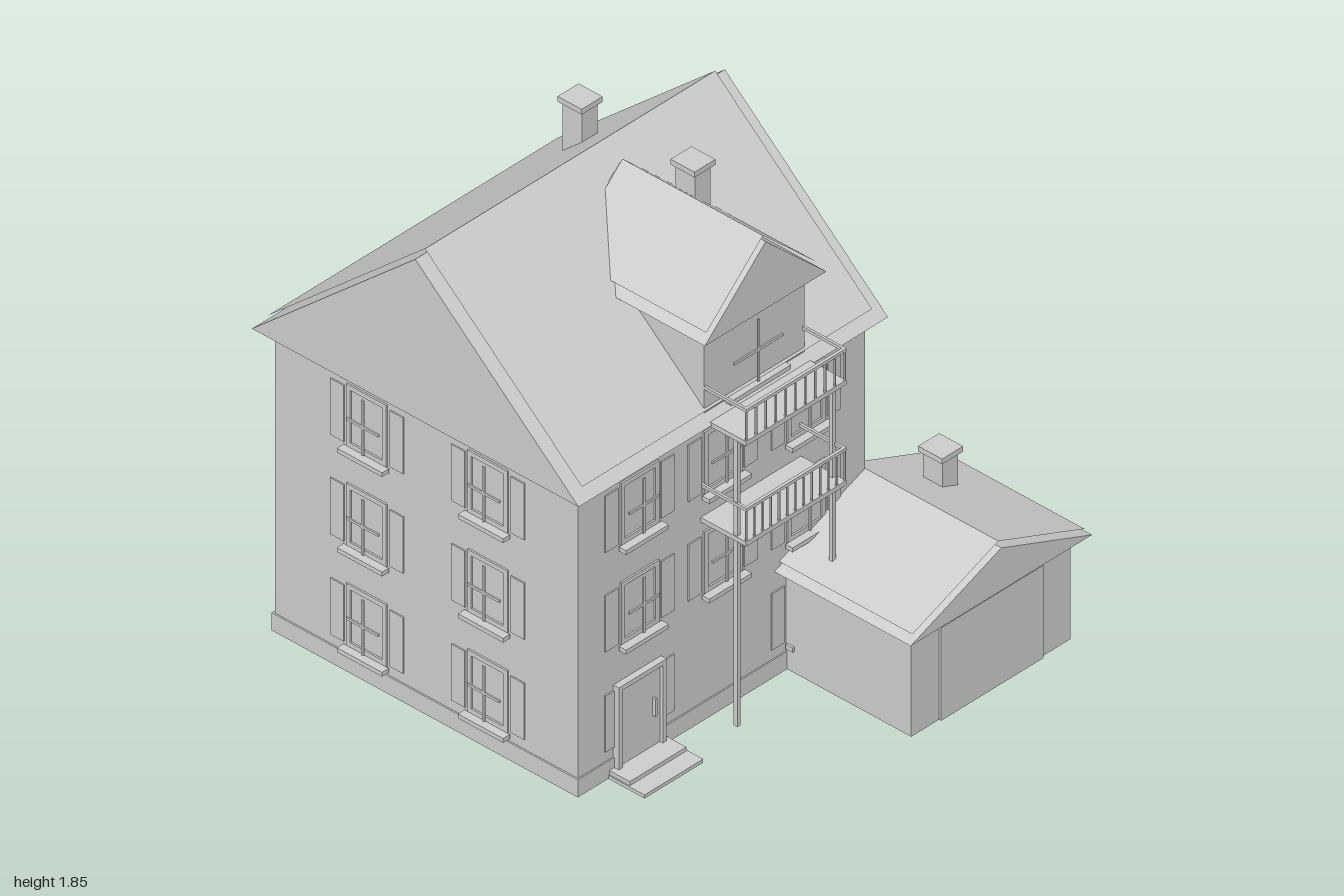
import * as THREE from 'three';

export function createModel() {
  const house = new THREE.Group();
  house.name = 'house';
  const grey = new THREE.MeshStandardMaterial({ color: 0xcccccc, side: THREE.DoubleSide });
  grey.name = 'light grey';

  const add = (parent, name, geometry) => {
    const mesh = new THREE.Mesh(geometry, grey);
    mesh.name = name;
    parent.add(mesh);
    return mesh;
  };
  // Box given by its limits on each axis
  const box = (parent, name, x0, x1, y0, y1, z0, z1) => {
    const mesh = add(parent, name, new THREE.BoxGeometry(x1 - x0, y1 - y0, z1 - z0));
    mesh.position.set((x0 + x1) / 2, (y0 + y1) / 2, (z0 + z1) / 2);
    return mesh;
  };
  const group = (parent, name, x, y, z, turn = 0) => {
    const g = new THREE.Group();
    g.name = name;
    g.position.set(x, y, z);
    g.rotation.y = turn;
    parent.add(g);
    return g;
  };

  // Gable roof with its ridge along local z, and a raised layer of tiles inset from the edges
  function gableRoof(name, half, rise, length, lift, insetSide, insetEnd, x, y, z, turn) {
    const g = group(house, name, x, y, z, turn);
    const triangle = new THREE.Shape([
      new THREE.Vector2(-half, 0), new THREE.Vector2(half, 0), new THREE.Vector2(0, rise),
    ]);
    const body = new THREE.ExtrudeGeometry(triangle, { depth: length, bevelEnabled: false });
    add(g, name + 'Body', body.translate(0, 0, -length / 2));

    const plane = new THREE.PlaneGeometry(2 * (half - insetSide), length - 2 * insetEnd, 2, 1);
    plane.rotateX(-Math.PI / 2);
    const p = plane.attributes.position;
    for (let i = 0; i < p.count; i++) {
      p.setY(i, rise * (1 - Math.abs(p.getX(i)) / half) + lift);
    }
    const tiles = plane.toNonIndexed();
    tiles.computeVertexNormals();
    add(g, name + 'Tiles', tiles);
  }

  function chimney(name, x, z, bottom, top) {
    const g = group(house, name, x, 0, z);
    box(g, 'chimneyShaft', -0.037, 0.037, bottom, top - 0.02, -0.043, 0.043);
    box(g, 'chimneyCap', -0.049, 0.049, top - 0.021, top, -0.053, 0.053);
  }

  function shutters(parent) {
    for (const s of [-1, 1]) {
      const c = s * 0.131;
      box(parent, 'shutter', c - 0.03, c + 0.03, -0.115, 0.107, 0, 0.005);
    }
  }

  // Window facing local +z, centred on its frame
  function windowUnit(x, y, z, turn) {
    const g = group(house, 'window', x, y, z, turn);
    for (const s of [-1, 1]) {
      const cx = s * 0.08, cy = s * 0.113;
      box(g, 'frameSide', cx - 0.009, cx + 0.009, -0.122, 0.122, 0, 0.007);
      box(g, 'frameRail', -0.071, 0.071, cy - 0.009, cy + 0.009, 0, 0.007);
    }
    box(g, 'mullion', -0.005, 0.005, -0.11, 0.107, 0.02, 0.026);
    box(g, 'crossbar', -0.071, 0.071, -0.003, 0.007, 0.02, 0.026);
    box(g, 'sill', -0.1, 0.1, -0.139, -0.122, 0.006, 0.038);
    shutters(g);
  }

  // Main block
  box(house, 'walls', -0.865, 0.48, 0, 1.19, -0.945, 0.395);
  box(house, 'plinth', -0.871, 0.486, 0, 0.07, -0.953, 0.4);
  gableRoof('mainRoof', 0.722, 0.625, 1.45, 0.018, 0.028, 0.045, -0.19, 1.19, -0.277, Math.PI / 2);
  chimney('mainChimney', 0.156, -0.559, 1.45, 1.767);

  // Windows on all four walls
  const columns = [-0.58, -0.19, 0.2];
  [0.225, 0.62, 1.012].forEach((y, row) => {
    columns.forEach((x, col) => {
      windowUnit(x, y, -0.945, Math.PI);
      if (row > 0 || col === 2) windowUnit(x, y, 0.395, 0);
    });
    for (const z of [0, -0.535]) {
      windowUnit(0.48, y, z, Math.PI / 2);
      windowUnit(-0.865, y, z, -Math.PI / 2);
    }
  });

  // Front door and steps
  const entrance = group(house, 'entrance', -0.588, 0, 0.395);
  box(entrance, 'doorPanel', -0.095, 0.095, 0.03, 0.335, 0, 0.012);
  box(entrance, 'doorHead', -0.112, 0.112, 0.335, 0.353, 0, 0.025);
  for (const s of [-1, 1]) {
    const c = s * 0.103;
    box(entrance, 'doorJamb', c - 0.009, c + 0.009, 0.03, 0.335, 0, 0.025);
  }
  box(entrance, 'doorHandle', 0.06, 0.068, 0.15, 0.22, 0.012, 0.025);
  box(entrance, 'lowerStep', -0.14, 0.135, 0, 0.014, 0, 0.165);
  box(entrance, 'upperStep', -0.135, 0.13, 0.014, 0.03, 0, 0.095);
  shutters(group(house, 'doorShutters', -0.58, 0.225, 0.395));

  // Dormer
  box(house, 'dormerWalls', -0.29, 0.18, 1.18, 1.54, -0.02, 0.41);
  gableRoof('dormerRoof', 0.285, 0.265, 0.645, 0.018, 0.02, 0.012, -0.055, 1.535, 0.138, 0);
  chimney('dormerChimney', 0.066, 0.025, 1.6, 1.85);
  const dormerWindow = group(house, 'dormerWindow', -0.055, 0, 0.41);
  box(dormerWindow, 'mullion', -0.004, 0.004, 1.235, 1.48, 0.015, 0.021);
  box(dormerWindow, 'crossbar', -0.115, 0.115, 1.355, 1.366, 0.015, 0.021);
  box(dormerWindow, 'sill', -0.14, 0.14, 1.215, 1.232, 0, 0.03);

  // Two balconies on slim posts
  function balcony(name, deck, rail, bars) {
    const g = group(house, name, -0.055, 0, 0);
    box(g, 'deck', -0.235, 0.235, deck - 0.018, deck, 0.39, 0.595);
    box(g, 'frontRail', -0.235, 0.235, rail - 0.012, rail, 0.585, 0.597);
    for (const s of [-1, 1]) {
      const c = s * 0.23;
      box(g, 'sideRail', c - 0.005, c + 0.005, rail - 0.012, rail, 0.39, 0.59);
    }
    for (let i = 0; i <= bars; i++) {
      const x = -0.231 + (0.462 * i) / bars;
      box(g, 'baluster', x - 0.003, x + 0.003, deck, rail - 0.012, 0.589, 0.595);
    }
  }
  balcony('lowerBalcony', 0.802, 0.934, 12);
  balcony('upperBalcony', 1.198, 1.325, 10);
  for (const x of [-0.278, 0.168]) {
    box(house, 'balconyPost', x - 0.008, x + 0.008, 0.05, 1.18, 0.537, 0.553);
  }

  // Garage
  box(house, 'garageWalls', 0.11, 0.857, 0, 0.41, 0.385, 0.948);
  box(house, 'garageDoor', 0.24, 0.72, 0, 0.366, 0.948, 0.957);
  gableRoof('garageRoof', 0.425, 0.168, 0.665, 0.02, 0.022, 0.013, 0.48, 0.41, 0.665, 0);
  chimney('garageChimney', 0.677, 0.543, 0.45, 0.656);

  return house;
}
